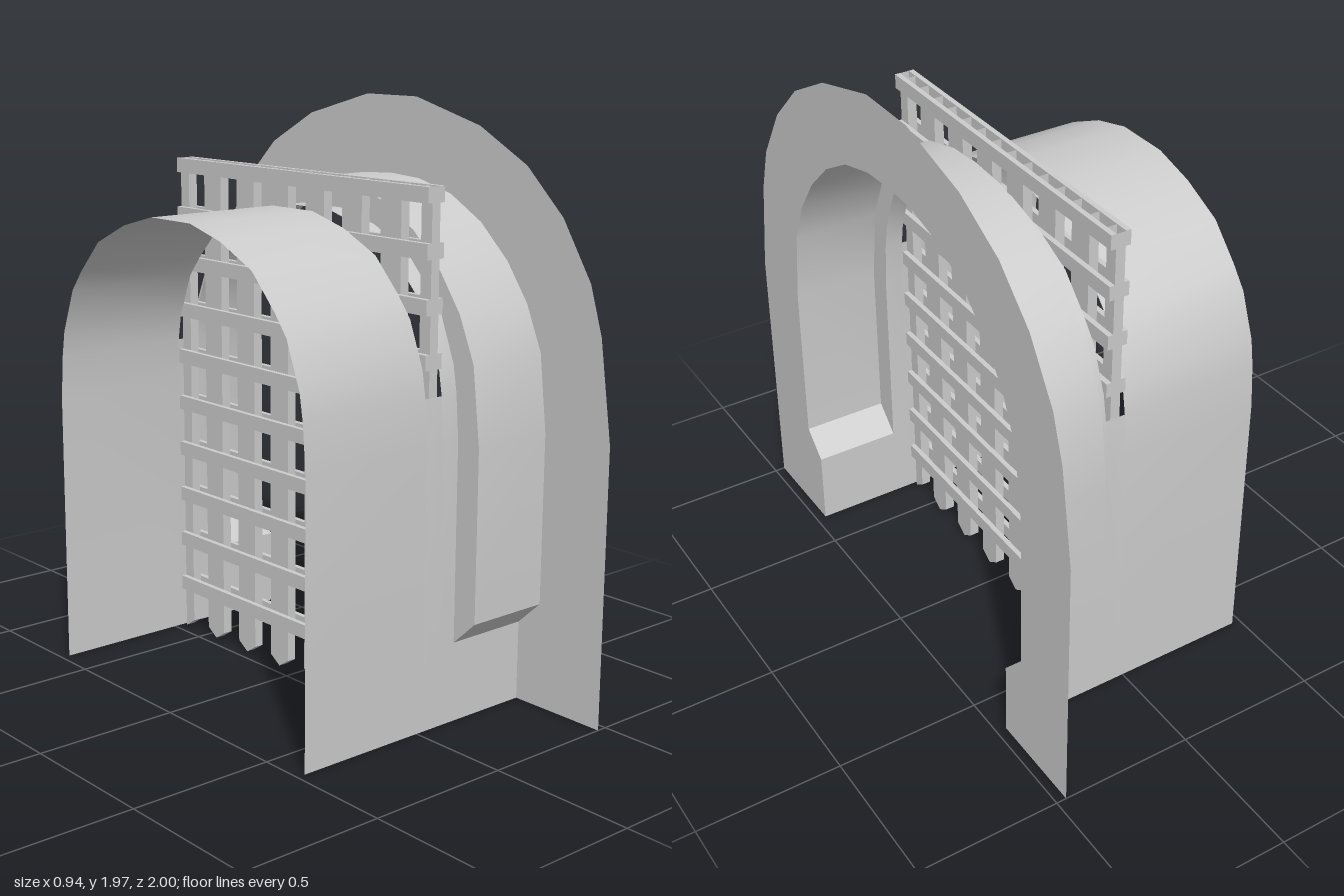
import * as THREE from 'three';
import { toCreasedNormals } from 'three/addons/utils/BufferGeometryUtils.js';

const material = new THREE.MeshStandardMaterial({ color: 0xcccccc, side: THREE.DoubleSide });

function add(parent, name, geometry) {
  const mesh = new THREE.Mesh(geometry, material);
  mesh.name = name;
  parent.add(mesh);
}

// Profiles are [z, y] points; half profiles run from the foot to the crown.
const mirror = (half) => [...half, ...half.map(([z, y]) => [-z, y]).reverse()];

// Open sheet: a profile swept along x from x0 to x1.
function sheet(profile, x0, x1, crease = 0.6) {
  const pos = [];
  for (let i = 0; i < profile.length - 1; i++) {
    const [za, ya] = profile[i];
    const [zb, yb] = profile[i + 1];
    pos.push(x0, ya, za, x1, ya, za, x1, yb, zb);
    pos.push(x0, ya, za, x1, yb, zb, x0, yb, zb);
  }
  const g = new THREE.BufferGeometry();
  g.setAttribute('position', new THREE.Float32BufferAttribute(pos, 3));
  g.computeVertexNormals();
  return toCreasedNormals(g, crease);
}

// Flat outline standing in the plane at the given x.
function plate(outline, x) {
  const shape = new THREE.Shape(outline.map(([z, y]) => new THREE.Vector2(-z, y)));
  return new THREE.ShapeGeometry(shape).rotateY(Math.PI / 2).translate(x, 0, 0);
}

export function createModel() {
  const group = new THREE.Group();
  const back = -0.47, step = 0.16, front = 0.465;
  const slot0 = 0.025, slot1 = 0.095, slotY = 1.09, footY = 0.27, inner = 0.645;

  // Half profiles of the three arches
  const outerHalf = [[1, 0], [1, 0.94], [0.95, 1.275], [0.9, 1.435], [0.78, 1.627],
    [0.624, 1.777], [0.415, 1.89], [0.12, 1.97]];
  const recessHalf = [[inner, footY], [0.735, 0.355], [0.735, 0.93], [0.704, 1.19], [0.64, 1.34],
    [0.55, 1.467], [0.43, 1.58], [0.29, 1.66], [0.137, 1.7], [0, 1.708]];
  const upperHalf = [[inner, 0.94], [0.633, slotY], [0.618, 1.18], [0.56, 1.33], [0.505, 1.4],
    [0.4, 1.51], [0.25, 1.58], [0.1, 1.62]];
  const tunnelHalf = [[inner, 0], [inner, footY], ...upperHalf];
  const recess = mirror(recessHalf);
  const tunnel = mirror(tunnelHalf);

  // Front wall around the opening
  add(group, 'archFace',
    plate([...mirror(outerHalf), [-inner, 0], ...[...recess].reverse(), [inner, 0]], front));

  // Wide recess behind the front wall, with sloped sills
  add(group, 'archRecess', sheet(recess, step, front));

  // Step from the recess in to the tunnel
  const tunnelAboveSill = mirror([[inner, footY], ...upperHalf]).reverse();
  add(group, 'archStep', plate([...recess, ...tunnelAboveSill.slice(1, -1)], step));

  // Tunnel, split by the slot for the gate
  add(group, 'tunnelRear', sheet(tunnel, back, slot0));
  add(group, 'tunnelFront', sheet(tunnel, slot1, step));
  for (const s of [1, -1]) {
    const low = [[s * inner, 0], [s * inner, 0.94], [s * 0.633, slotY]];
    add(group, 'tunnelSlotWall', sheet(low, slot0, slot1));
    add(group, 'recessFootWall', sheet([[s * inner, 0], [s * inner, footY]], step, front));
  }

  // Portcullis
  const gate = new THREE.Group();
  gate.name = 'portcullis';
  group.add(gate);
  const top = 1.74, halfBar = 0.046, tip = 0.03, half = 0.63;
  const bar0 = 0.043, bar1 = 0.077;

  // Pointed upright bars, hollow at the top
  const addBar = (outline) => {
    add(gate, 'uprightSides', sheet(outline, bar0, bar1, 0.1));
    add(gate, 'uprightBack', plate(outline, bar0));
    add(gate, 'uprightFront', plate(outline, bar1));
  };
  for (let i = 0; i < 6; i++) {
    const z = -0.45 + i * 0.18;
    addBar([[z - halfBar, top], [z - halfBar, tip], [z, 0], [z + halfBar, tip], [z + halfBar, top]]);
  }
  for (const s of [1, -1]) {
    addBar([[s * half, top], [s * half, 0], [s * (half - 0.046), tip], [s * (half - 0.046), top]]);
  }

  // Cross rails on both faces of the bars
  for (let i = 0; i < 10; i++) {
    for (const [x0, x1] of [[slot0, bar0], [bar1, slot1]]) {
      const rail = new THREE.BoxGeometry(x1 - x0, 0.05, half * 2);
      add(gate, 'crossRail', rail.translate((x0 + x1) / 2, 0.172 + i * 0.1715, 0));
    }
  }
  return group;
}
